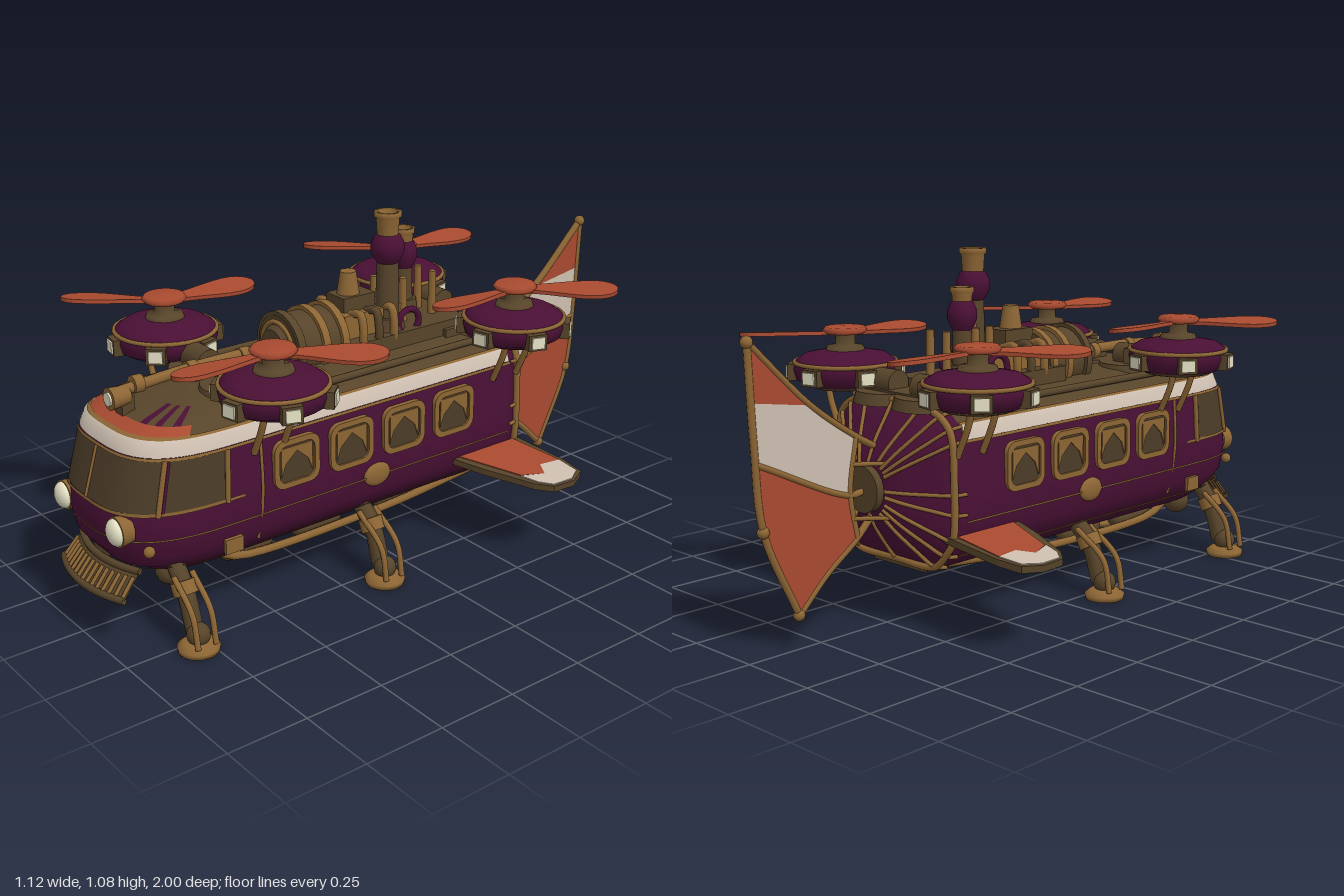
import * as THREE from 'three';

const mat = (name, color, side = THREE.FrontSide) => {
  const m = new THREE.MeshStandardMaterial({ color, side });
  m.name = name;
  return m;
};

export function createModel() {
  const root = new THREE.Group();
  root.name = 'airship';
  const purple = mat('plum paint', 0x4a1035, THREE.DoubleSide), brown = mat('dark bronze', 0x57442a, THREE.DoubleSide);
  const gold = mat('brass', 0x8c6534), orange = mat('rust orange', 0xa84a30);
  const cream = mat('cream', 0xcdbfb0), lamp = mat('lamp glass', 0xe6e2c6), glass = mat('smoked glass', 0x4b3c28);

  const add = (name, geo, m, p = [0, 0, 0], parent = root) => {
    const mesh = new THREE.Mesh(geo, m);
    mesh.name = name;
    mesh.position.set(...p);
    parent.add(mesh);
    return mesh;
  };
  const V = p => new THREE.Vector3(...p);
  const rod = (name, pts, r, m, parent = root) =>
    add(name, new THREE.TubeGeometry(new THREE.CatmullRomCurve3(pts.map(V)), pts.length * 5, r, 8), m, [0, 0, 0], parent);
  const cyl = (name, r0, r1, h, m, p, parent, seg = 24) => add(name, new THREE.CylinderGeometry(r0, r1, h, seg), m, p, parent);
  const cylZ = (name, r0, r1, h, m, p, parent) =>
    add(name, new THREE.CylinderGeometry(r0, r1, h, 24).rotateX(Math.PI / 2), m, p, parent);
  const box = (name, s, m, p, parent) => add(name, new THREE.BoxGeometry(...s), m, p, parent);
  const lathe = (name, pts, m, p, parent) =>
    add(name, new THREE.LatheGeometry(pts.map(q => new THREE.Vector2(...q)), 32), m, p, parent);
  // surface from a rule on two lists of parameters
  const grid = (us, vs, f) => {
    const pos = [], idx = [], n = vs.length;
    us.forEach(u => vs.forEach(v => pos.push(...f(u, v))));
    for (let i = 0; i < us.length - 1; i++) for (let j = 0; j < n - 1; j++) {
      const a = i * n + j, b = a + n;
      idx.push(a, b, a + 1, b, b + 1, a + 1);
    }
    const g = new THREE.BufferGeometry();
    g.setAttribute('position', new THREE.Float32BufferAttribute(pos, 3));
    g.setIndex(idx);
    g.computeVertexNormals();
    return g;
  };
  const range = (a, b, n) => Array.from({ length: n + 1 }, (_, i) => a + (b - a) * i / n);

  // hull levels: height, half width, nose z
  const levels = [[.185, 0, .8], [.19, .17, .84], [.23, .215, .91], [.28, .248, .95], [.36, .257, .965], [.42, .256, .955],
    [.57, .25, .91], [.61, .236, .895], [.645, .195, .82], [.664, .12, .7], [.67, 0, .61]];
  const NOSE = .6, TAIL = -.42;
  const section = y => {
    let k = 0;
    while (k < levels.length - 2 && y > levels[k + 1][0]) k++;
    const a = levels[k], b = levels[k + 1], t = (y - a[0]) / (b[0] - a[0]);
    return [a[1] + (b[1] - a[1]) * t, a[2] + (b[2] - a[2]) * t];
  };
  // u: 0 at nose centre, 1 where the nose meets the side, 2 at the tail; sign gives the side
  const hull = (u, y, off = 0) => {
    const [w, zf] = section(y), s = Math.sign(u), a = Math.min(Math.abs(u), 1) * Math.PI / 2;
    const x = s * (w + off) * Math.pow(Math.sin(a), 2 / 3);
    const z = Math.abs(u) > 1 ? NOSE + (Math.abs(u) - 1) * (TAIL - NOSE)
      : NOSE + (zf + off - NOSE) * Math.pow(Math.max(0, Math.cos(a)), 2 / 3);
    return [x, y, z];
  };
  const panel = (name, y0, y1, u0, u1, off, m) => {
    const ys = [y0, ...levels.map(l => l[0]).filter(y => y > y0 + .001 && y < y1 - .001), y1];
    const us = range(u0, u1, Math.max(4, Math.ceil((u1 - u0) * 20)));
    return add(name, grid(us, ys, (u, y) => hull(u, y, off)), m);
  };
  panel('lowerHull', .185, .575, -2, 2, 0, purple);
  panel('creamBand', .575, .62, -2, 2, .004, cream);
  panel('roof', .62, .67, -2, 2, 0, brown);
  panel('browStripe', .62, .64, -.75, .75, .004, orange);
  for (const u of [-.65, -.45, -.28, .2, .37, .57]) panel('roofStripe', .64, .661, u, u + .08, .004, purple);
  for (const [y, h] of [[.225, .008], [.335, .006], [.412, .01], [.567, .009], [.617, .006]])
    panel('brassTrim', y, y + h, y > .4 && y < .5 ? -1 : -2, y > .4 && y < .5 ? 1 : 2, .008, gold);

  // cab glazing with posts
  panel('windscreen', .42, .567, -.57, .57, .005, glass);
  for (const s of [-1, 1]) {
    panel('cabSideWindow', .42, .567, s > 0 ? .62 : -.95, s > 0 ? .95 : -.62, .005, glass);
    for (const u of [.58, .96]) rod('cabPost', [hull(s * u, .41, .006), hull(s * u, .49, .006), hull(s * u, .57, .006)], .008, gold);
    rod('doorEdge', [hull(s * 1.06, .25, .004), hull(s * 1.06, .4, .004), hull(s * 1.06, .57, .004)], .005, gold);
    box('doorPlate', [.012, .045, .06], gold, [s * .257, .27, .64]);
    cylZ('headlampRim', .045, .04, .04, gold, [s * .15, .365, .935]);
    add('headlamp', new THREE.SphereGeometry(.04, 24, 16).scale(1, 1, .6), lamp, [s * .15, .365, .955]);
    add('sideLamp', new THREE.SphereGeometry(.017, 16, 10), gold, [s * .215, .31, .89]);
  }
  rod('windscreenDivider', [hull(0, .42, .006), hull(0, .5, .006), hull(0, .567, .006)], .005, gold);

  // flat plates outlined in (z, y), standing across x
  const shape = pts => new THREE.Shape(pts.map(p => new THREE.Vector2(...p)));
  const plate = (sh, d) => new THREE.ExtrudeGeometry(sh, { depth: d, bevelEnabled: false, curveSegments: 8 })
    .translate(0, 0, -d / 2).rotateY(-Math.PI / 2);
  const rounded = (w, h, r, Cls = THREE.Shape) => {
    const s = new Cls();
    s.absarc(w / 2 - r, h / 2 - r, r, 0, Math.PI / 2);
    s.absarc(r - w / 2, h / 2 - r, r, Math.PI / 2, Math.PI);
    s.absarc(r - w / 2, r - h / 2, r, Math.PI, Math.PI * 1.5);
    s.absarc(w / 2 - r, r - h / 2, r, Math.PI * 1.5, Math.PI * 2);
    s.closePath();
    return s;
  };
  const frame = rounded(.16, .15, .035);
  frame.holes.push(rounded(.125, .115, .025, THREE.Path));
  const frameGeo = plate(frame, .025), paneGeo = plate(rounded(.13, .12, .025), .009);
  const curtainGeo = plate(shape([[-.055, .05], [-.055, -.04], [-.04, 0], [0, .035], [.04, 0], [.055, -.04], [.055, .05]]), .006);
  for (const s of [-1, 1]) {
    for (const z of [.42, .22, .02, -.18]) {
      add('windowFrame', frameGeo, gold, [s * .254, .47, z]);
      add('windowPane', paneGeo, glass, [s * .256, .47, z]);
      add('windowCurtain', curtainGeo, gold, [s * .261, .47, z]);
    }
    const badge = add('sideBadge', new THREE.SphereGeometry(.05, 20, 12).scale(.3, .75, 1), gold, [s * .257, .34, .12]);
    badge.rotation.x = 0;
    rod('roofRail', [[s * .2, .655, .5], [s * .2, .655, 0], [s * .2, .655, -.42]], .012, brown);
  }

  // ribbed tail dome
  const ring = [...levels, ...levels.slice(0, -1).reverse().map(l => [l[0], -l[1]])].map(l => [l[1], l[0] - .42]);
  const dome = [[-.42, 1], [-.46, .96], [-.5, .75], [-.54, .5], [-.565, .28], [-.565, 0]];
  const domePt = (i, j, k = 1) => [ring[j][0] * dome[i][1] * k, .42 + ring[j][1] * dome[i][1] * k, dome[i][0]];
  add('tailDome', grid(range(0, 5, 5), range(0, 20, 20), (i, j) => domePt(i, j)), purple);
  for (let j = 0; j < 20; j++) rod('tailRib', [0, 1, 2, 3, 4].map(i => domePt(i, j, 1.015)), .006, gold);
  rod('tailHoop', ring.map((_, j) => domePt(1, j, 1.02)), .011, gold);
  cylZ('tailBoss', .07, .07, .05, brown, [0, .42, -.565]);

  // tail fin: coloured cloth in a brass frame
  add('finTip', plate(shape([[-.77, .69], [-.97, .88], [-.96, .72]]), .012), orange);
  add('finSail', plate(shape([[-.61, .58], [-.77, .69], [-.96, .72], [-.955, .55], [-.63, .41]]), .012), cream);
  add('finLower', plate(shape([[-.63, .41], [-.955, .55], [-.94, .36], [-.825, .1], [-.72, .2], [-.61, .28]]), .012), orange);
  for (const pts of [[[-.5, .52], [-.61, .58], [-.77, .69], [-.975, .885]], [[-.975, .885], [-.962, .6], [-.94, .36], [-.825, .1]],
    [[-.53, .36], [-.61, .28], [-.72, .2], [-.825, .1]], [[-.61, .58], [-.635, .42], [-.61, .28]], [[-.56, .42], [-.63, .41], [-.955, .55]]])
    rod('finFrame', pts.map(([z, y]) => [0, y, z]), .011, gold);
  for (const [z, y] of [[-.975, .885], [-.825, .1], [-.94, .36]]) add('finKnob', new THREE.SphereGeometry(.018, 12, 8), gold, [0, y, z]);
  for (const s of [-1, 1]) for (const y of [.34, .5]) rod('finStay', [[s * .09, y, -.53], [s * .04, y, -.58], [0, y, -.63]], .007, gold);

  // tail wings, with paint on both faces
  const flat = (pts, s, d) => new THREE.ExtrudeGeometry(shape(pts.map(([x, z]) => [s * x, -z])), { depth: d, bevelEnabled: false })
    .rotateX(-Math.PI / 2).translate(0, -d / 2, 0);
  for (const s of [-1, 1]) {
    const wing = new THREE.Group();
    wing.name = 'tailWing';
    wing.position.set(s * .25, .287, 0);
    wing.rotation.z = -s * .075;
    root.add(wing);
    add('wingCore', flat([[-.05, -.18], [.1, -.23], [.26, -.3], [.305, -.34], [.31, -.42], [.28, -.48], [.2, -.49], [-.05, -.47]], s, .02), brown, [0, 0, 0], wing);
    add('wingPaint', flat([[0, -.22], [.1, -.26], [.2, -.3], [.23, -.37], [.18, -.4], [.19, -.475], [0, -.45]], s, .026), orange, [0, 0, 0], wing);
    add('wingTip', flat([[.2, -.295], [.26, -.315], [.297, -.345], [.3, -.42], [.27, -.47], [.19, -.475], [.18, -.4], [.23, -.37]], s, .026), cream, [0, 0, 0], wing);
  }

  // four rotor pods
  const blade = new THREE.Shape();
  blade.moveTo(.03, -.018);
  blade.bezierCurveTo(.13, -.03, .18, -.065, .25, -.06);
  blade.bezierCurveTo(.34, -.05, .34, .045, .25, .05);
  blade.bezierCurveTo(.18, .05, .13, .03, .03, .018);
  const bladeGeo = new THREE.ExtrudeGeometry(blade, { depth: .012, bevelEnabled: false }).rotateX(-Math.PI / 2);
  for (const s of [-1, 1]) for (const z of [.51, -.4]) {
    const pod = new THREE.Group();
    pod.name = 'rotorPod';
    pod.position.set(s * .285, 0, z);
    root.add(pod);
    lathe('podShell', [[.125, .675], [.15, .69], [.158, .72], [.155, .745], [.125, .765], [.06, .778], [0, .78]], purple, [0, 0, 0], pod);
    lathe('podBase', [[0, .662], [.1, .664], [.13, .678], [.13, .69]], brown, [0, 0, 0], pod);
    add('podRing', new THREE.TorusGeometry(.155, .007, 8, 40).rotateX(Math.PI / 2), gold, [0, .742, 0], pod);
    for (let i = 0; i < 6; i++) {
      const holder = new THREE.Group();
      holder.name = 'podLamp';
      holder.rotation.y = s * (.2 + i * Math.PI / 3);
      pod.add(holder);
      box('lampHousing', [.06, .05, .05], brown, [0, .71, .15], holder);
      box('lampFace', [.042, .036, .008], lamp, [0, .71, .176], holder);
    }
    lathe('rotorMast', [[.06, .775], [.055, .79], [.03, .795], [.03, .83]], brown, [0, 0, 0], pod);
    lathe('rotorHub', [[0, .825], [.06, .828], [.068, .838], [.06, .848], [0, .852]], orange, [0, 0, 0], pod);
    for (const a of s < 0 ? [90, 227] : [52, 270]) {
      const b = add('rotorBlade', bladeGeo, orange, [0, .822, 0], pod);
      b.rotation.set(.12, a * Math.PI / 180, 0, 'YXZ');
    }
    cyl('podArm', .04, .04, .16, brown, [-s * .16, .7, 0], pod).rotation.z = Math.PI / 2;
    cyl('podMount', .1, .11, .035, brown, [-s * .2, .662, 0], pod);
    for (const d of [-.05, .05]) rod('podStrut', [[s * .025, .67, d], [s * .01, .62, d], [-s * .032, .53, d]], .01, gold, pod);
  }

  // boiler, engine block and steam pipe on the roof
  cylZ('boiler', .1, .1, .19, brown, [0, .71, .2]);
  for (const z of [.12, .19, .28]) cylZ('boilerBand', .112, .112, .025, z > .2 ? brown : gold, [0, .71, z]);
  cylZ('boilerFace', .06, .08, .03, brown, [0, .71, .3]);
  add('boilerRing', new THREE.TorusGeometry(.08, .008, 8, 32), gold, [0, .71, .295]);
  box('engineBase', [.25, .06, .5], brown, [0, .68, -.1]);
  box('engineBlock', [.15, .11, .22], gold, [0, .73, -.01]);
  box('engineCover', [.09, .06, .12], brown, [0, .8, .02]);
  box('rearDeck', [.28, .03, .2], brown, [0, .67, -.35]);
  for (const s of [-1, 1]) {
    for (const z of [.06, 0, -.06]) rod('enginePipe', [[s * .05, .78, z], [s * .1, .79, z], [s * .115, .74, z], [s * .11, .67, z]], .013, z ? gold : brown);
    add('flywheel', new THREE.TorusGeometry(.04, .01, 8, 24).rotateY(Math.PI / 2), purple, [s * .1, .73, -.13]);
    for (const z of [-.1, -.16, -.28]) cyl('valve', .012, .014, .16, gold, [s * .035, .77, z], root, 10);
  }
  cyl('steamDome', .025, .04, .1, gold, [0, .85, .03]);
  rod('steamPipe', [[0, .72, .3], [0, .72, .6], [0, .705, .84]], .017, gold);
  for (const z of [.42, .6, .78]) cylZ('pipeCollar', .026, .026, .03, gold, [0, .715, z]);
  cylZ('roofLampHousing', .033, .026, .06, gold, [0, .69, .84]);
  cylZ('roofLamp', .02, .02, .008, lamp, [0, .69, .872]);
  box('roofLampFoot', [.04, .07, .04], brown, [0, .655, .82]);

  // chimneys
  for (const [x, z, top, r] of [[.055, -.08, 1.08, .04], [-.05, -.23, .98, .034]]) {
    cyl('chimneyStem', r * .8, r, top - .76, brown, [x, (top + .56) / 2, z]);
    lathe('chimneyCollar', [[r * .8, -.05], [r, -.04], [r * 1.3, -.015], [r * 1.3, .01], [r, .035], [r * .8, .04]], purple, [x, top - .13 + (r < .04 ? .05 : .02), z]);
    lathe('chimneyTop', [[r * .8, -.08], [r * .9, -.02], [r * 1.05, -.015], [r * 1.05, 0], [r * .75, 0], [r * .7, -.05], [0, -.05]], gold, [x, top, z]);
    cyl('chimneyFoot', r * 1.25, r * 1.4, .04, brown, [x, .73, z]);
  }

  // landing legs
  for (const s of [-1, 1]) for (const [z, x] of [[.79, .29], [.13, .31]]) {
    rod('legBeam', [[s * .17, .24, z], [s * (x - .06), .16, z], [s * (x - .02), .05, z]], .028, brown);
    cyl('legCollar', .037, .037, .04, gold, [s * (x - .065), .17, z]).rotation.z = s * .5;
    for (const d of [-.03, .03]) rod('legStrut', [[s * .22, .21, z + d], [s * (x + .02), .13, z + d], [s * (x + .045), .03, z + d]], .009, gold);
    add('ankle', new THREE.SphereGeometry(.035, 16, 12), brown, [s * x, .05, z]);
    lathe('footPad', [[0, 0], [.06, 0], [.062, .015], [.045, .028], [0, .035]], gold, [s * x, 0, z]);
  }

  // flared front guard with slats
  const guard = (v, t, o = 0) => [(.175 - .01 * t) * v, .16 + .07 * t, .955 - .06 * t + .04 * (1 - v * v) + o];
  add('frontGuard', grid(range(-1, 1, 16), [0, 1], (v, t) => guard(v, t)), brown);
  for (const v of range(-.95, .95, 14)) rod('guardSlat', [guard(v, .1, .002), guard(v, .5, .002), guard(v, .8, .002)], .006, gold);
  for (const t of [0, 1]) rod('guardRail', range(-1, 1, 8).map(v => guard(v, t)), .011, brown);

  // underside machinery
  box('keel', [.22, .03, 1.2], brown, [0, .18, .15]);
  for (const s of [-1, 1]) {
    rod('underPipe', [[s * .15, .19, .62], [s * .15, .16, .55], [s * .15, .155, 0], [s * .15, .19, -.4]], .013, gold);
    for (const z of [.5, .24, -.08]) {
      const tank = add('underTank', new THREE.CapsuleGeometry(.034, .12, 6, 16).rotateX(Math.PI / 2), brown, [s * .1, .16, z]);
      tank.scale.y = .9;
    }
    add('frontTank', new THREE.SphereGeometry(.045, 16, 12), brown, [s * .1, .165, .76]);
  }
  lathe('underSpigot', [[0, .085], [.02, .095], [.022, .12], [.035, .14], [.05, .19]], gold, [0, 0, .14]);

  return root;
}
